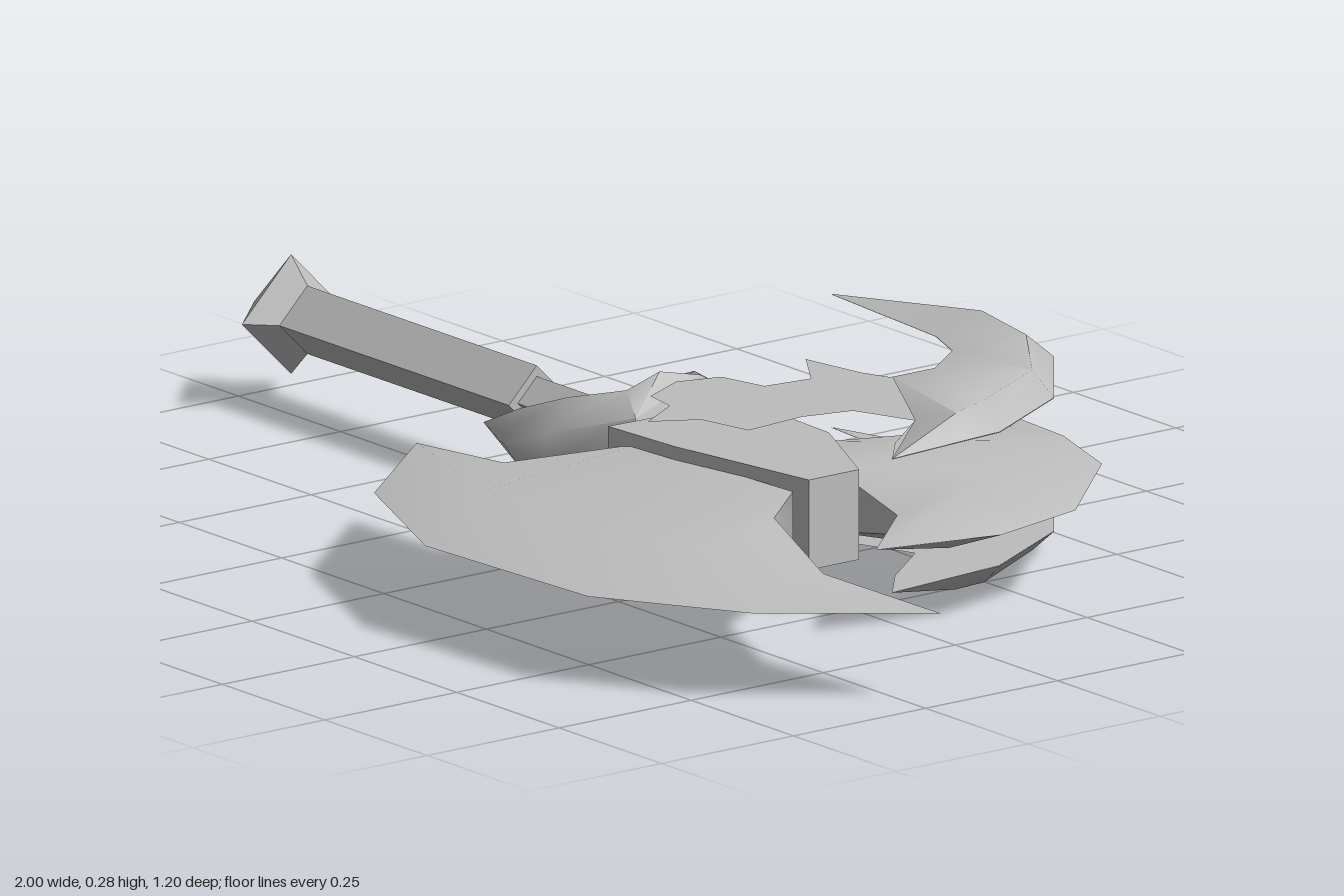
import * as THREE from 'three';
import { toCreasedNormals } from 'three/addons/utils/BufferGeometryUtils.js';

const CREASE = Math.PI / 3;
const steel = new THREE.MeshStandardMaterial({ color: 0xbdbdbd, side: THREE.DoubleSide });
steel.name = 'steel';

function part(name, geometry) {
  const mesh = new THREE.Mesh(toCreasedNormals(geometry, CREASE), steel);
  mesh.name = name;
  return mesh;
}

// Lofts a blade through stations of [x, z, halfThickness] for inner edge, ridge and outer edge.
// A station with a single point is a sharp tip; flatBack leaves out the lower half.
function loftBlade(stations, flatBack = false) {
  const rings = stations.map((s) => {
    const [inner, ridge, outer] = s.length === 1 ? [s[0], s[0], s[0]] : s;
    const at = (p, side) => [p[0], (p[2] || 0) * side, p[1]];
    const low = flatBack ? 0 : -1;
    return [at(inner, 1), at(ridge, 1), at(outer, 1), at(outer, low), at(ridge, low), at(inner, low)];
  });
  const pos = [];
  for (let i = 0; i < rings.length - 1; i++) {
    for (let j = 0; j < 6; j++) {
      const k = (j + 1) % 6;
      const a = rings[i][j], b = rings[i][k], c = rings[i + 1][k], d = rings[i + 1][j];
      pos.push(...a, ...b, ...c, ...a, ...c, ...d);
    }
  }
  const g = new THREE.BufferGeometry();
  g.setAttribute('position', new THREE.Float32BufferAttribute(pos, 3));
  g.computeVertexNormals();
  return g;
}

// Four-sided rod along x from [radius, x] points.
function rod(points) {
  return new THREE.LatheGeometry(points.map((p) => new THREE.Vector2(...p)), 4).rotateZ(-Math.PI / 2);
}

const toShape = (points) => new THREE.Shape(points.map((p) => new THREE.Vector2(...p)));

export function createModel() {
  const model = new THREE.Group();
  model.name = 'battleAxe';
  const body = new THREE.Group();
  body.name = 'axeBody';
  body.position.y = 0.142;
  model.add(body);

  // Handle
  const handle = new THREE.Group();
  handle.name = 'handle';
  handle.position.z = -0.03;
  handle.add(
    part('pommel', rod([[0, -1], [0.093, -0.91], [0.053, -0.87]])),
    part('grip', rod([[0.053, -0.88], [0.053, -0.31], [0, -0.31]])),
    part('shaft', rod([[0.036, -0.31], [0.036, 0.12]])),
  );
  body.add(handle);

  // Horned collar, mirrored about the handle axis
  const half = [
    [[-0.26, -0.14]],
    [[-0.15, -0.125, 0.02], [-0.16, -0.15, 0.045], [-0.17, -0.17, 0.01]],
    [[-0.11, -0.09, 0.04], [-0.08, -0.12, 0.075], [-0.08, -0.16, 0.025]],
    [[-0.08, -0.05, 0.055], [0, -0.07, 0.095], [0.06, -0.1, 0.07]],
  ];
  const mirrored = half.map((s) => s.map(([x, z, h]) => [x, -z, h])).reverse();
  const middle = [[-0.07, 0, 0.06], [-0.01, 0, 0.11], [0.02, 0, 0.08]];
  const collar = part('hornedCollar', loftBlade([...half, middle, ...mirrored]));
  collar.position.z = -0.03;
  body.add(collar);

  // Head block
  const block = new THREE.ExtrudeGeometry(
    toShape([[0.07, 0.13], [0.22, 0.12], [0.49, 0.075], [0.49, -0.02], [0.3, -0.11], [0.08, -0.12]]),
    { depth: 0.14, bevelEnabled: false },
  ).rotateX(Math.PI / 2).translate(0, 0.07, 0);
  body.add(part('headBlock', block));

  // Large front blade
  body.add(part('frontBlade', loftBlade([
    [[-0.23, 0.26]],
    [[-0.03, 0.25, 0.012], [-0.02, 0.36, 0.03], [-0.05, 0.48]],
    [[0.12, 0.11, 0.05], [0.14, 0.41, 0.036], [0.23, 0.6]],
    [[0.47, 0.09, 0.05], [0.45, 0.41, 0.036], [0.6, 0.58]],
    [[0.54, 0.18, 0.04], [0.58, 0.37, 0.035], [0.71, 0.514]],
    [[0.75, 0.25, 0.012], [0.78, 0.33, 0.02], [0.83, 0.44]],
    [[1, 0.22]],
  ])));

  // Smaller rear blade
  body.add(part('rearBlade', loftBlade([
    [[0.66, 0.08]],
    [[0.57, -0.03, 0.015], [0.62, -0.09, 0.035], [0.71, -0.12]],
    [[0.4, -0.04, 0.05], [0.55, -0.22, 0.042], [0.67, -0.29]],
    [[0.28, -0.12, 0.05], [0.42, -0.36, 0.042], [0.49, -0.48]],
    [[0.27, -0.41, 0.012], [0.3, -0.46, 0.02], [0.33, -0.53]],
    [[0.13, -0.54]],
  ])));

  // Jagged wing plates above and below the head
  const outline = toShape([
    [-0.21, -0.51], [0.08, -0.6], [0.27, -0.56], [0.45, -0.42], [0.55, -0.24], [0.57, -0.02],
    [0.5, -0.08], [0.42, -0.18], [0.32, -0.14], [0.3, -0.06], [0.31, 0.05], [0.22, 0.07],
    [0.18, 0.14], [0.13, 0.06], [0.07, 0.05], [0.03, -0.03], [0.05, -0.1], [0.13, -0.12],
    [0.14, -0.2], [0.05, -0.26], [0.16, -0.28], [0.21, -0.3], [0.21, -0.38], [0.15, -0.46], [0.07, -0.49],
  ]);
  const crescent = [
    [[-0.21, -0.51]],
    [[0.07, -0.49], [0.08, -0.57, 0.028], [0.08, -0.6]],
    [[0.15, -0.46], [0.24, -0.53, 0.033], [0.27, -0.56]],
    [[0.21, -0.38], [0.41, -0.41, 0.036], [0.45, -0.42]],
    [[0.21, -0.3], [0.5, -0.25, 0.038], [0.55, -0.24]],
    [[0.42, -0.18], [0.52, -0.18, 0.033], [0.555, -0.18]],
    [[0.57, -0.02]],
  ];
  for (const side of [1, -1]) {
    const wing = new THREE.Group();
    wing.name = side > 0 ? 'upperWing' : 'lowerWing';
    wing.add(
      part('wingPlate', new THREE.ShapeGeometry(outline).rotateX(Math.PI / 2)),
      part('wingCrescent', loftBlade(crescent, true).translate(0, 0.001, 0)),
    );
    wing.position.y = 0.103 * side;
    wing.scale.y = side;
    body.add(wing);
  }
  return model;
}
